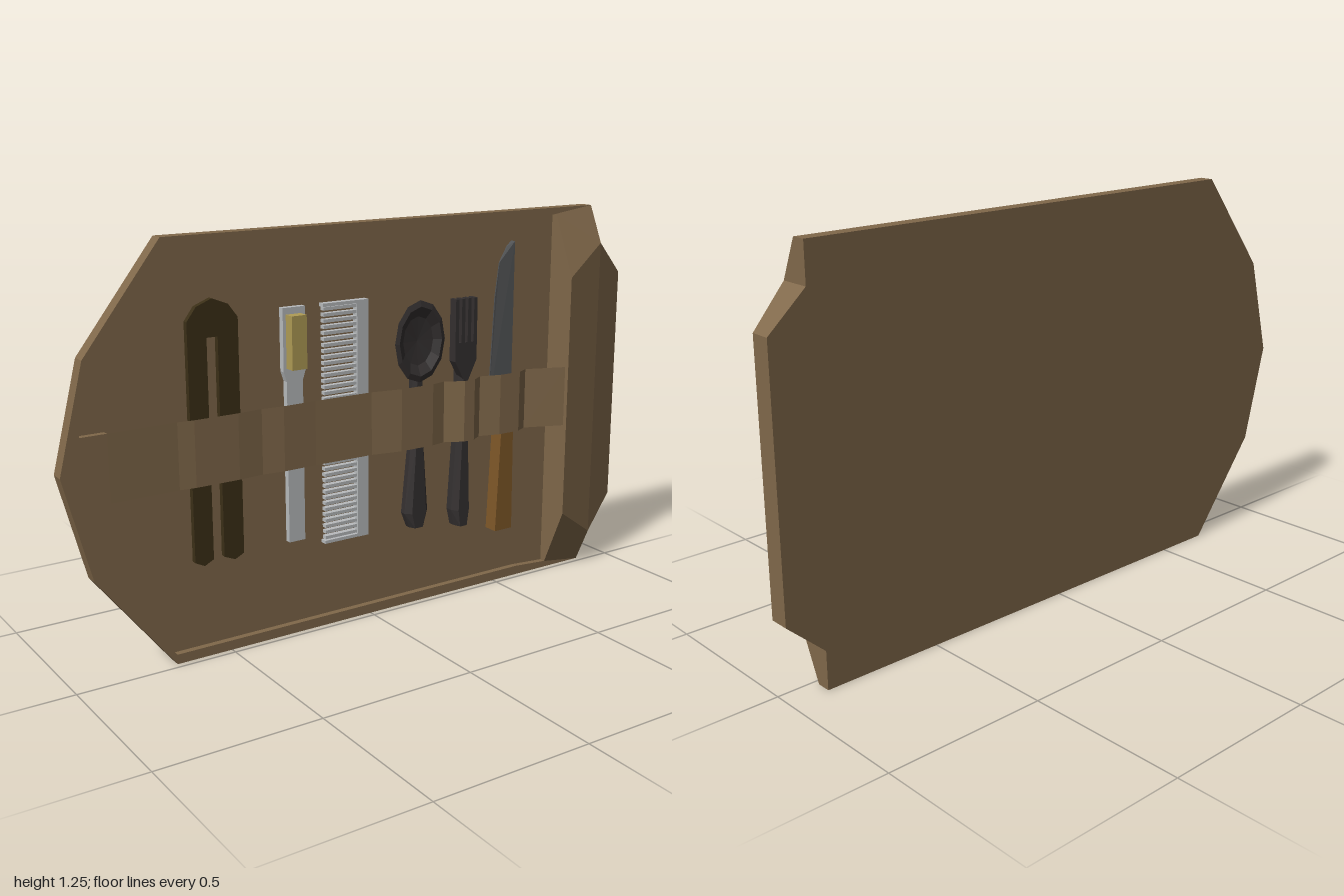
import * as THREE from 'three';
import { ConvexGeometry } from 'three/addons/geometries/ConvexGeometry.js';

const FLOOR = -0.04, RIM = -0.02, BACK = -0.065, MID = 0.625;
const mat = (color) => new THREE.MeshStandardMaterial({ color, flatShading: true, side: THREE.DoubleSide });
const leather = mat(0x80684a), darkOlive = mat(0x3b2f17), silver = mat(0xb8bbbd), yellow = mat(0xb09c55);
const iron = mat(0x343030), steel = mat(0x505254), wood = mat(0x7f5828);

const vecs = (pts) => pts.map(([x, y]) => new THREE.Vector2(x, y));
// Add the mirror image of a half outline across the horizontal centre line
const mirrorY = (pts) => [...pts, ...pts.slice().reverse().map(([x, y]) => [x, 2 * MID - y])];

function add(parent, name, geometry, material) {
  const mesh = new THREE.Mesh(geometry, material);
  mesh.name = name;
  parent.add(mesh);
  return mesh;
}

// Flat plate with the given outline between two depths
function plate(parent, name, pts, z0, z1, material, hole) {
  const shape = new THREE.Shape(vecs(pts));
  if (hole) shape.holes.push(new THREE.Path(vecs(hole)));
  const geo = new THREE.ExtrudeGeometry(shape, { depth: z1 - z0, bevelEnabled: false, curveSegments: 8 });
  geo.translate(0, 0, z0);
  return add(parent, name, geo, material);
}

function box(parent, name, x0, x1, y0, y1, z0, z1, material) {
  const geo = new THREE.BoxGeometry(x1 - x0, y1 - y0, z1 - z0);
  geo.translate((x0 + x1) / 2, (y0 + y1) / 2, (z0 + z1) / 2);
  return add(parent, name, geo, material);
}

// Faceted handle: hull of rows [y, halfWidth], narrower on its front face
function handle(parent, name, cx, rows, z1, material) {
  const pts = [];
  for (const [y, w] of rows)
    for (const s of [-1, 1]) {
      pts.push(new THREE.Vector3(cx + s * w, y, FLOOR));
      pts.push(new THREE.Vector3(cx + s * w, y, (FLOOR + z1) / 2));
      pts.push(new THREE.Vector3(cx + s * w * 0.6, y, z1));
    }
  return add(parent, name, new ConvexGeometry(pts), material);
}

function makeCase() {
  const g = new THREE.Group();
  g.name = 'case';
  const outer = mirrorY([[-0.92, 0.94], [-0.68, 1.25], [0.88, 1.25]]);
  outer.push([-1, MID]);
  const inner = mirrorY([[-0.86, 0.73], [-0.94, 0.73], [-0.89, 0.93], [-0.68, 1.22], [0.6, 1.22], [0.74, 1.23]]);
  plate(g, 'backPanel', outer, BACK, FLOOR, leather);
  plate(g, 'rim', outer, FLOOR, RIM, leather, inner);

  // Raised end pocket, split where its corners are notched
  const hull = (name, half) => {
    const pts = half.flatMap(([x, y, z]) => [new THREE.Vector3(x, y, z), new THREE.Vector3(x, 2 * MID - y, z)]);
    add(g, name, new ConvexGeometry(pts), leather);
  };
  hull('pocket', [[0.73, 1.03, 0.065], [0.88, 1.13, 0.035], [0.73, 1.23, RIM], [0.88, 1.25, RIM],
    [0.73, 1.23, FLOOR], [0.88, 1.25, FLOOR]]);
  hull('pocketEnd', [[0.88, 1.13, 0.035], [1, 1.02, 0], [0.88, 1.13, BACK], [1, 1.02, BACK]]);
  return g;
}

// Strap that bends over each tool
function makeStrap() {
  const path = [[-0.94, -0.019], [-0.86, -0.019], [-0.65, -0.022], [-0.6, -0.016], [-0.46, -0.016], [-0.38, -0.022],
    [-0.31, -0.014], [-0.2, -0.017], [0, -0.014], [0.1, 0.005], [0.22, 0.005], [0.27, -0.005], [0.33, 0.025],
    [0.37, 0.025], [0.41, 0], [0.48, 0.02], [0.56, 0.02], [0.6, 0], [0.73, 0.05]];
  const geo = new THREE.PlaneGeometry(1, 0.2, path.length - 1, 1);
  const p = geo.attributes.position;
  for (let i = 0; i < p.count; i++) {
    const [x, z] = path[i % path.length];
    p.setXYZ(i, x, i < path.length ? 0.73 : 0.53, z);
  }
  geo.computeVertexNormals();
  const mesh = new THREE.Mesh(geo, leather);
  mesh.name = 'strap';
  return mesh;
}

function makeTools() {
  const g = new THREE.Group();
  g.name = 'tools';

  // Two-armed shears
  plate(g, 'shears', [[-0.61, 0.3], [-0.58, 0.285], [-0.55, 0.3], [-0.55, 0.96], [-0.515, 0.96], [-0.515, 0.3],
    [-0.48, 0.285], [-0.45, 0.3], [-0.45, 1.01], [-0.48, 1.05], [-0.53, 1.07], [-0.58, 1.05], [-0.61, 1.01]],
    FLOOR, -0.022, darkOlive);

  // Brush
  plate(g, 'brushBody', [[-0.295, 0.3], [-0.24, 0.3], [-0.24, 0.8], [-0.23, 0.83], [-0.23, 1.02],
    [-0.305, 1.02], [-0.305, 0.83], [-0.295, 0.8]], FLOOR, -0.02, silver);
  box(g, 'brushBristles', -0.295, -0.245, 0.84, 1, -0.02, 0.015, yellow);

  // Comb: spine, wide end guards and fine teeth
  const comb = new THREE.Group();
  comb.name = 'comb';
  g.add(comb);
  box(comb, 'combSpine', -0.05, -0.01, 0.27, 1.02, FLOOR, -0.017, silver);
  for (const y of [0.27, 1.01]) box(comb, 'combGuard', -0.17, -0.05, y, y + 0.01, FLOOR, -0.018, silver);
  const teeth = 40;
  for (let i = 0; i < teeth; i++) {
    const y = 0.288 + i * 0.715 / (teeth - 1);
    box(comb, 'combTooth', -0.165, -0.05, y - 0.005, y + 0.005, FLOOR, -0.022, silver);
  }

  // Spoon: dished bowl, neck and handle
  const bowlProfile = vecs([[0, -0.022], [0.6, -0.016], [0.85, 0], [1, -0.005], [0.7, -0.035], [0, FLOOR]]);
  const bowl = new THREE.LatheGeometry(bowlProfile, 12);
  bowl.rotateX(Math.PI / 2);
  bowl.scale(0.095, 0.13, 1);
  bowl.translate(0.175, 0.87, 0);
  add(g, 'spoonBowl', bowl, iron);
  handle(g, 'spoonNeck', 0.175, [[0.52, 0.022], [0.76, 0.016]], -0.005, iron);
  handle(g, 'spoonHandle', 0.175, [[0.26, 0.025], [0.31, 0.045], [0.54, 0.022]], -0.002, iron);

  // Fork
  const tines = [[0.345, 0.72], [0.305, 0.79], [0.305, 0.99]];
  for (let i = 0; i < 3; i++) {
    const x = 0.318 + i * 0.024;
    tines.push([x, 0.99], [x, 0.85], [x + 0.011, 0.85], [x + 0.011, 0.99]);
  }
  tines.push([0.39, 0.99], [0.39, 0.79], [0.355, 0.72]);
  plate(g, 'forkHead', tines, -0.025, 0.005, iron);
  handle(g, 'forkNeck', 0.348, [[0.52, 0.018], [0.76, 0.014]], 0.005, iron);
  handle(g, 'forkHandle', 0.348, [[0.235, 0.022], [0.29, 0.035], [0.55, 0.018]], 0.008, iron);

  // Knife: blade tapering to its cutting edge, wooden grip
  const blade = plate(g, 'knifeBlade', [[0.455, 0.6], [0.545, 0.6], [0.545, 1.155], [0.52, 1.14], [0.49, 1.09],
    [0.475, 0.98]], -0.025, -0.005, steel);
  const p = blade.geometry.attributes.position;
  for (let i = 0; i < p.count; i++) if (p.getX(i) < 0.54) p.setZ(i, -0.015 + (p.getZ(i) + 0.015) * 0.2);
  blade.geometry.computeVertexNormals();
  plate(g, 'knifeHandle', [[0.48, 0.19], [0.55, 0.19], [0.545, 0.62], [0.5, 0.62]], FLOOR, 0.01, wood);
  return g;
}

export function createModel() {
  const model = new THREE.Group();
  model.name = 'toolCase';
  model.add(makeCase(), makeStrap(), makeTools());
  return model;
}
